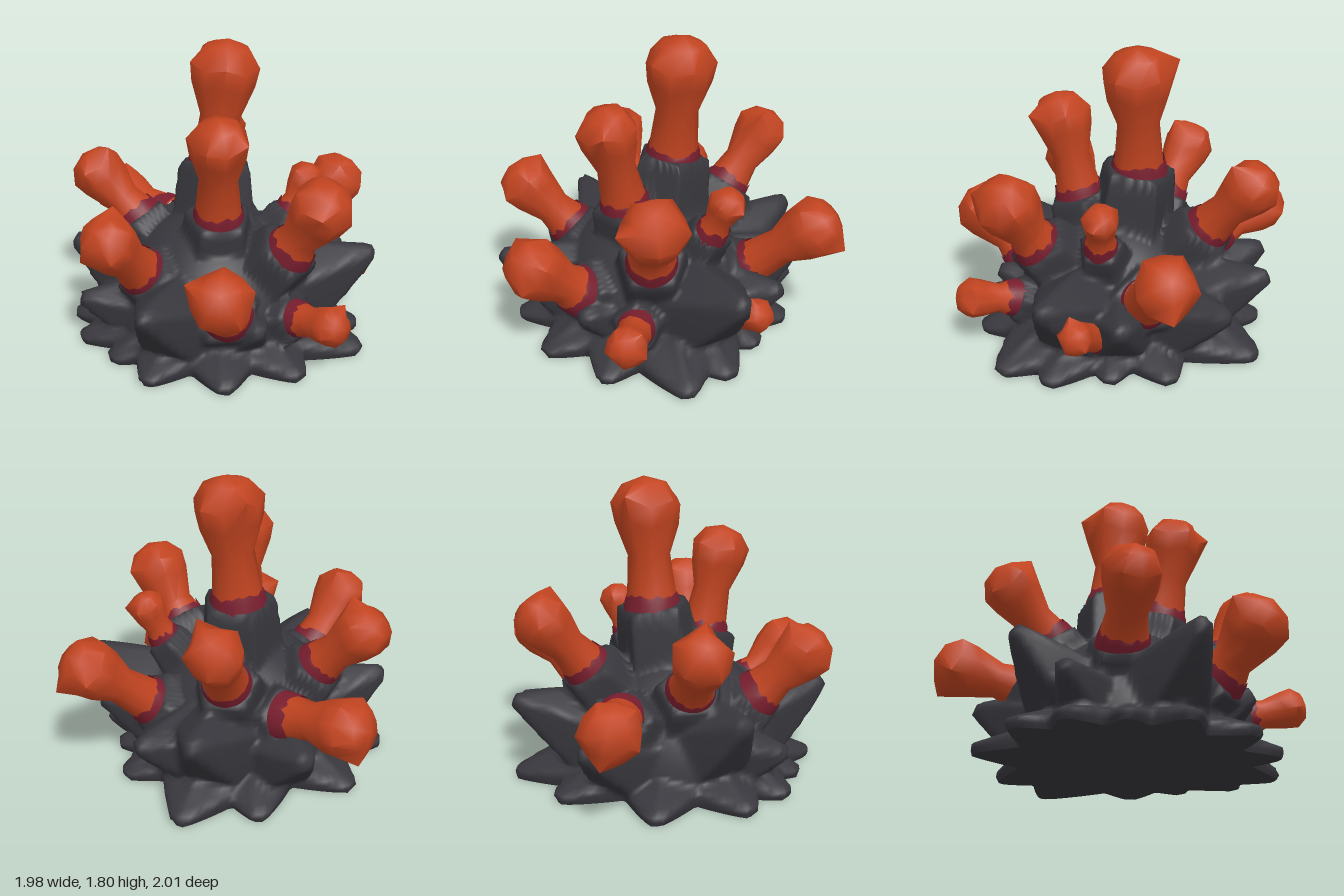
import * as THREE from 'three';
import { toCreasedNormals } from 'three/addons/utils/BufferGeometryUtils.js';

const rock = new THREE.MeshStandardMaterial({ name: 'charcoal rock', color: 0x37373d });
const coral = new THREE.MeshStandardMaterial({ name: 'burnt orange', color: 0xc24420 });
const crimson = new THREE.MeshStandardMaterial({ name: 'dark crimson', color: 0x781e2e, side: THREE.DoubleSide });

// Stalks: base, tip, stem radius, head radius
const STALKS = [
  [[-0.02, 1.06, -0.14], [0.05, 1.8, -0.17], 0.15, 0.21],
  [[0.1, 0.85, 0.22], [0.14, 1.47, 0.35], 0.135, 0.18],
  [[0.25, 0.4, 0.58], [0.32, 0.73, 0.96], 0.135, 0.185],
  [[-0.31, 0.53, 0.45], [-0.45, 0.92, 0.79], 0.135, 0.175],
  [[0.54, 0.68, 0.21], [0.8, 1.12, 0.29], 0.135, 0.19],
  [[0.62, 0.29, 0.34], [0.92, 0.37, 0.52], 0.1, 0.12],
  [[0.45, 0.74, -0.2], [0.56, 1.03, -0.28], 0.09, 0.11],
  [[0.61, 0.25, -0.26], [0.93, 0.42, -0.33], 0.1, 0.1],
  [[0.42, 0.45, -0.49], [0.73, 0.86, -0.85], 0.13, 0.18],
  [[-0.13, 0.73, -0.57], [-0.19, 1.15, -0.91], 0.13, 0.17],
  [[-0.47, 0.5, -0.43], [-0.98, 0.63, -0.6], 0.13, 0.18],
  [[-0.51, 0.66, -0.03], [-0.87, 1.03, -0.04], 0.13, 0.17],
];

// Tips of the upper rock spikes
const SPIKES = [
  [-0.13, 0.5, 0.94], [0.98, 0.55, -0.17], [-0.1, 0.54, -0.99], [-0.84, 0.56, 0.2],
  [0.25, 0.42, -0.93], [-0.66, 0.4, -0.68], [0.72, 0.42, -0.53], [-0.69, 0.3, 0.48],
  [0.45, 0.32, 0.6],
];

// Spikes lying on the ground: angle from the front toward +x, length
const GROUND = [
  [350, 0.86], [21, 0.86], [51, 0.88], [81, 0.99], [99, 0.92], [122, 0.8], [146, 0.86],
  [181, 1], [208, 0.9], [249, 0.88], [285, 0.88], [306, 0.86], [328, 0.8],
];

function seeded(seed) {
  let s = seed;
  return () => (s = (s * 16807) % 2147483647) / 2147483647;
}

// Closed surface through equal rings of points, listed bottom to top
function loft(rings) {
  const n = rings[0].length, index = [];
  for (let j = 0; j < rings.length - 1; j++) {
    for (let i = 0; i < n; i++) {
      const a = j * n + i, b = j * n + (i + 1) % n;
      index.push(a, a + n, b, b, a + n, b + n);
    }
  }
  const geo = new THREE.BufferGeometry().setFromPoints(rings.flat());
  geo.setIndex(index);
  geo.computeVertexNormals();
  return geo;
}

// Rock surface: a dome pushed outward into blunt five-sided spikes and pedestals
function makeMound() {
  const bumps = [];
  // flatten squeezes a spike vertically
  const bump = (p, width, spread, flatten = 0) => {
    const dir = new THREE.Vector3(...p), len = dir.length();
    dir.normalize();
    const side = new THREE.Vector3(0, 1, 0).cross(dir).normalize();
    bumps.push({ dir, len, side, rise: dir.clone().cross(side), width, spread, flatten });
  };
  STALKS.forEach(([b, , r]) => bump(b, r * 1.38, 0.12));
  SPIKES.forEach((p) => bump(p, 0.045, 0.52));
  GROUND.forEach(([deg, len]) => {
    const a = THREE.MathUtils.degToRad(deg);
    bump([Math.sin(a) * len, 0.035, Math.cos(a) * len], 0.05, 0.75, 0.7);
  });

  // each spike widens steadily from its blunt tip down to the dome
  const sector = Math.PI * 2 / 5;
  const radius = (d) => {
    let r = 0.64 + 0.13 * d.y ** 2;
    for (const { dir, len, side, rise, width, spread, flatten } of bumps) {
      const angle = d.angleTo(dir);
      if (angle > 0.8) continue;
      const around = Math.atan2(d.dot(rise), d.dot(side));
      const turn = (around - Math.PI / 2 + Math.PI * 4) % sector;
      const facet = angle * Math.cos(turn - sector / 2) * 1.1 * (1 + flatten * Math.sin(around) ** 2);
      r = Math.max(r, Math.min(len, (width + spread * len) / (facet + spread)));
    }
    return r;
  };

  const rings = [], around = 160, up = 48;
  for (let j = 0; j <= up; j++) {
    const e = (j / up) * Math.PI / 2, ring = [];
    for (let i = 0; i < around; i++) {
      const a = (i / around) * Math.PI * 2;
      const d = new THREE.Vector3(Math.cos(a) * Math.cos(e), Math.sin(e), Math.sin(a) * Math.cos(e));
      ring.push(d.clone().multiplyScalar(radius(d)));
    }
    rings.push(ring);
  }
  const top = new THREE.Mesh(loft(rings), rock);
  top.name = 'spikyRock';
  const under = new THREE.Mesh(loft([rings[0].map(() => new THREE.Vector3()), rings[0]]), rock);
  under.name = 'rockUnderside';
  return [top, under];
}

// Knobbly stalk with a flared, angular head and a ragged collar
function makeStalk([base, tip, r, h], k) {
  const rand = seeded(991 + k * 7717);
  const from = new THREE.Vector3(...base), axis = new THREE.Vector3(...tip).sub(from);
  const L = axis.length(), sides = 10;
  const twist = rand() * 6;
  const corners = Array.from({ length: sides }, (_, i) => (i % 2 ? 0.88 : 0.97) + rand() * 0.1);
  const thorn = 2 * Math.floor(rand() * 5);

  // distance along the axis, radius, angularity
  const profile = [
    [-0.05, r * 1.05, 0], [0.04, r, 0.2], [Math.max(0.08, L - 2.2 * h), r * 0.85, 0.3],
    [L - 1.3 * h, h * 0.92, 0.9], [L - 0.75 * h, h, 1], [L - 0.2 * h, h * 0.64, 0.7], [L, 0, 0],
  ];
  const rings = profile.map(([y, rad, amount], j) => corners.map((c, i) => {
    const a = twist + (i / sides) * Math.PI * 2;
    const spur = j === 4 && i === thorn;
    const q = rad * (1 + (c - 1) * amount) * (spur ? 1.15 : 1);
    const lift = j === 3 || j === 4 ? (i % 2 ? -0.1 : 0.06) * h : 0;
    return new THREE.Vector3(Math.cos(a) * q, y + lift + (spur ? 0.2 * h : 0), Math.sin(a) * q);
  }));
  const stalk = new THREE.Mesh(toCreasedNormals(loft(rings), 0.95), coral);
  stalk.name = 'stalk';

  // collar with an uneven upper edge
  const n = 28;
  const edge = (y, q, jag) => Array.from({ length: n }, (_, i) => {
    const a = (i / n) * Math.PI * 2;
    return new THREE.Vector3(Math.cos(a) * q, y + jag * rand(), Math.sin(a) * q);
  });
  const collar = new THREE.Mesh(loft([edge(-0.05, r * 1.16, 0), edge(0.005, r * 1.1, 0.012), edge(0.025, r * 1.025, 0.04)]), crimson);
  collar.name = 'collar';

  const group = new THREE.Group();
  group.name = 'coralStalk';
  group.add(stalk, collar);
  group.position.copy(from);
  group.quaternion.setFromUnitVectors(new THREE.Vector3(0, 1, 0), axis.normalize());
  return group;
}

export function createModel() {
  const model = new THREE.Group();
  model.name = 'coralRock';
  model.add(...makeMound(), ...STALKS.map(makeStalk));
  return model;
}
